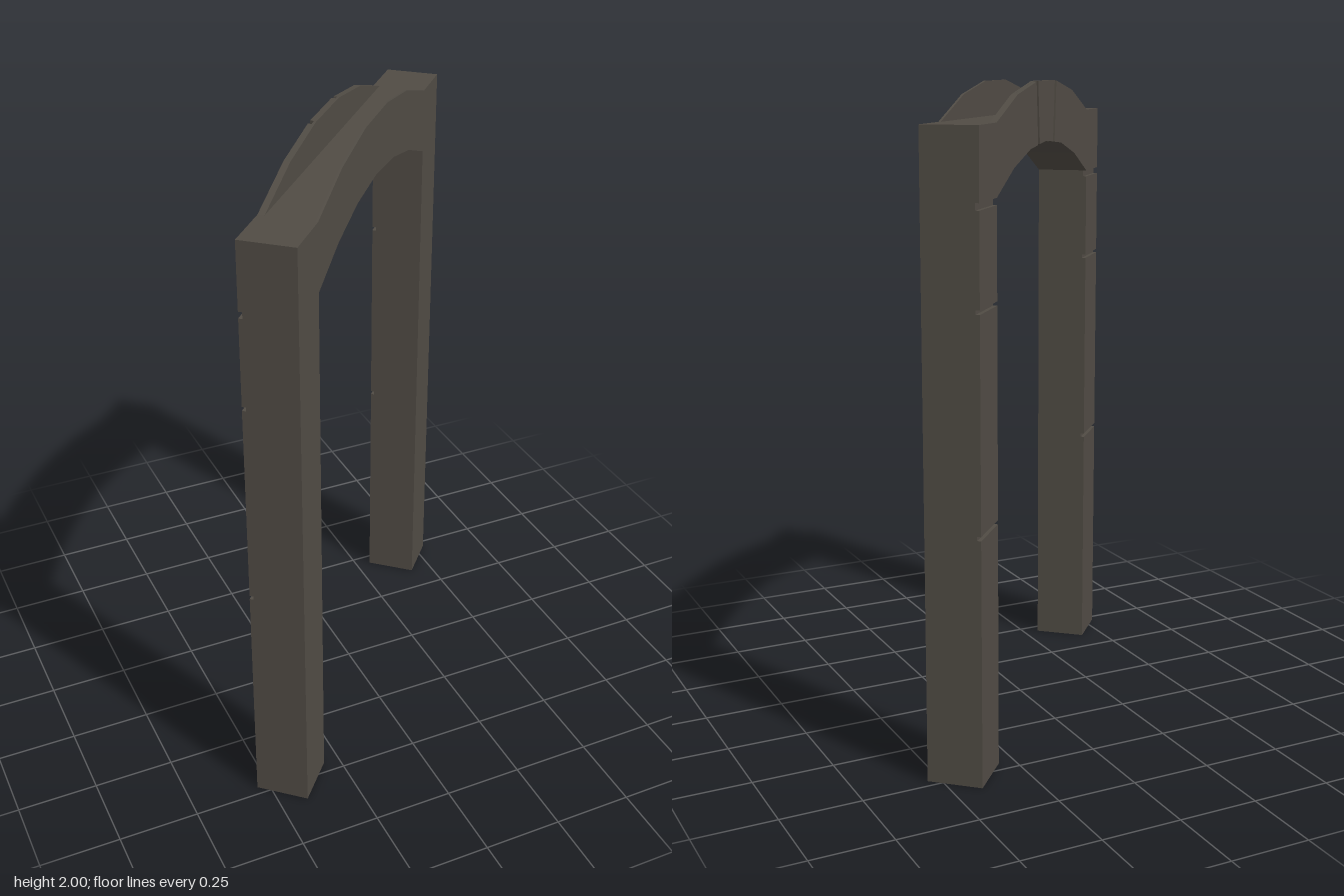
import * as THREE from 'three';

const OUT = 0.71, IN = 0.543, SPRING = 1.69, SHOULDER = 1.895;
// right halves of the faceted curves, from the pillar to the middle
const INNER = [[IN, SPRING], [0.365, 1.76], [0.185, 1.803], [0, 1.818]];
const OUTER = [[0.11, 2], [0.33, 1.965], [IN, SHOULDER]];
const mirror = (pts) => pts.map(([x, y]) => [-x, y]).reverse();

// doorway outline, with a flat or a curved top
function doorway(curved) {
  const crown = curved ? [...OUTER.slice().reverse(), ...mirror(OUTER).reverse()] : [];
  return [
    [IN, 0], [OUT, 0], [OUT, SHOULDER], ...crown,
    [-OUT, SHOULDER], [-OUT, 0], [-IN, 0],
    ...mirror(INNER.slice(0, 3)).reverse(), [0, 1.818], ...INNER.slice(0, 3).reverse(),
  ];
}

export function createModel() {
  const stone = new THREE.MeshStandardMaterial({ color: 0x504b44 });
  stone.name = 'dark stone';

  const arch = new THREE.Group();
  arch.name = 'archway';

  function slab(name, pts, z0, z1) {
    const shape = new THREE.Shape(pts.map(([x, y]) => new THREE.Vector2(x, y)));
    const geo = new THREE.ExtrudeGeometry(shape, { depth: z1 - z0, bevelEnabled: false });
    geo.translate(0, 0, z0);
    const mesh = new THREE.Mesh(geo, stone);
    mesh.name = name;
    arch.add(mesh);
  }

  // flat-topped core between two curved facings that rise above it
  slab('core', doorway(false), -0.064, 0.077);
  slab('frontFacing', doorway(true), 0.077, 0.084);
  slab('backFacing', doorway(true), -0.072, -0.064);

  // stone blocks on the back, separated by narrow grooves
  const Z0 = -0.084, Z1 = -0.072;
  const courses = [[0, 0.749], [0.761, 1.389], [1.401, 1.67]];
  const archStone = [
    [OUT, SPRING], [OUT, SHOULDER], [IN, SHOULDER], [0.33, 1.965], [0.12, 1.998],
    [0.1, 1.81], [0.185, 1.803], [0.365, 1.76], [IN, SPRING],
  ];
  for (const side of [1, -1]) {
    const label = side > 0 ? 'left' : 'right';
    const flip = (pts) => pts.map(([x, y]) => [x * side, y]);
    courses.forEach(([a, b], i) =>
      slab(`${label}PillarBlock${i + 1}`, flip([[IN, a], [OUT, a], [OUT, b], [IN, b]]), Z0, Z1));
    slab(`${label}ArchStone`, flip(archStone), Z0, Z1);
  }
  slab('keystone', [[0.08, 1.812], [0.1, 2], [-0.1, 2], [-0.08, 1.812], [0, 1.818]], Z0, Z1);

  // the arch stands diagonally
  arch.rotation.y = THREE.MathUtils.degToRad(48);
  const model = new THREE.Group();
  model.name = 'model';
  model.add(arch);
  return model;
}
